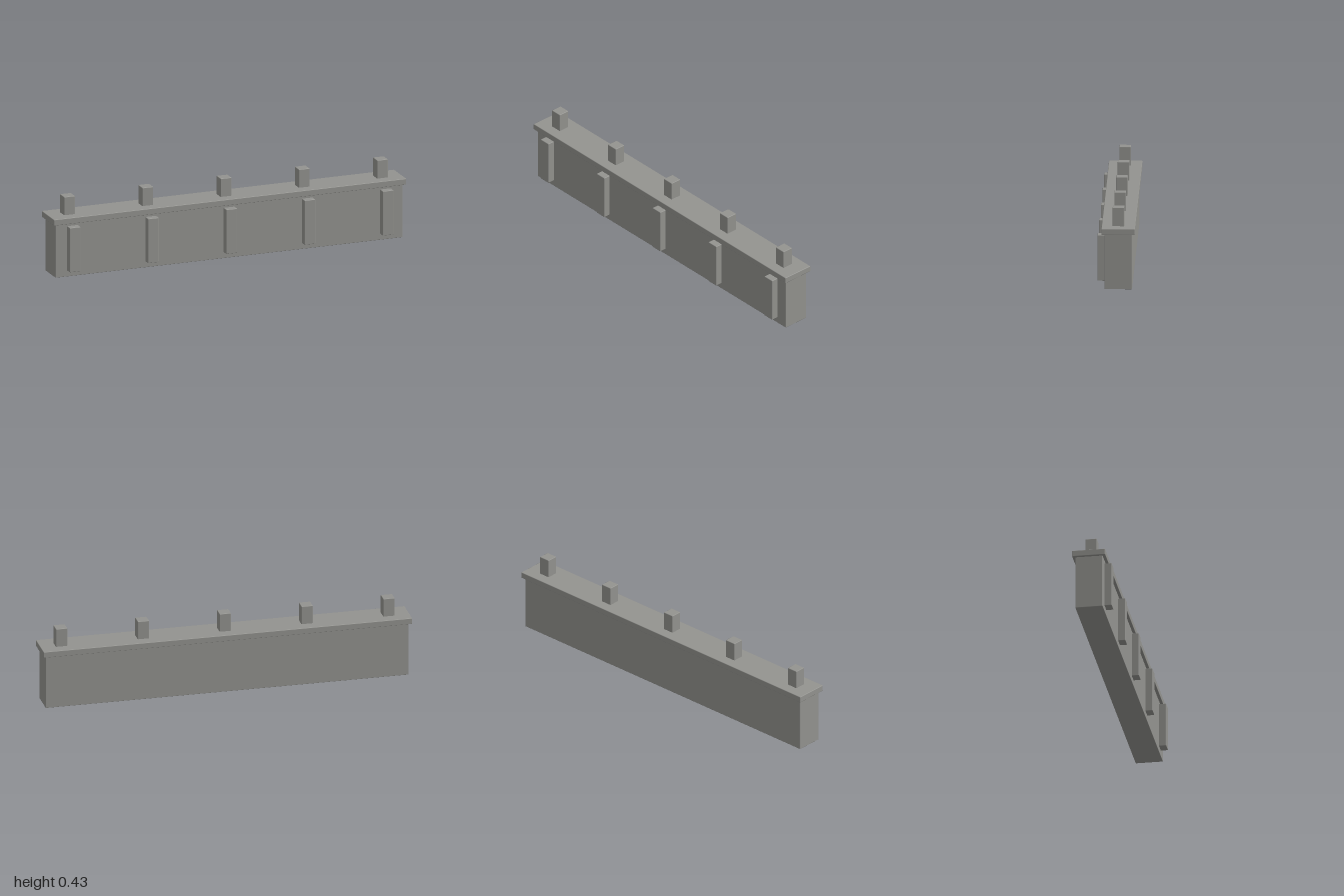
import * as THREE from 'three';
import { RoundedBoxGeometry } from 'three/addons/geometries/RoundedBoxGeometry.js';

const stone = new THREE.MeshStandardMaterial({ color: 0x93938f });
stone.name = 'grey stone';

// Box with finely chamfered edges, given by its extents
function block(name, [x0, x1], [y0, y1], [z0, z1]) {
  const geometry = new RoundedBoxGeometry(x1 - x0, y1 - y0, z1 - z0, 1, 0.003);
  const mesh = new THREE.Mesh(geometry, stone);
  mesh.position.set((x0 + x1) / 2, (y0 + y1) / 2, (z0 + z1) / 2);
  mesh.name = name;
  return mesh;
}

export function createModel() {
  const model = new THREE.Group();
  model.name = 'parapetWall';

  // Long wall and its overhanging coping
  model.add(block('wall', [-0.985, 0.985], [0, 0.296], [-0.084, 0.062]));
  model.add(block('coping', [-1, 1], [0.293, 0.326], [-0.099, 0.078]));

  // Evenly spaced posts on top, each above a pilaster on the front
  for (let i = -2; i <= 2; i++) {
    const x = i * 0.444;
    const span = [x - 0.031, x + 0.031];
    model.add(block('post', span, [0.32, 0.426], [-0.041, 0.02]));
    model.add(block('pilaster', span, [0.033, 0.278], [0.055, 0.1]));
  }
  return model;
}
